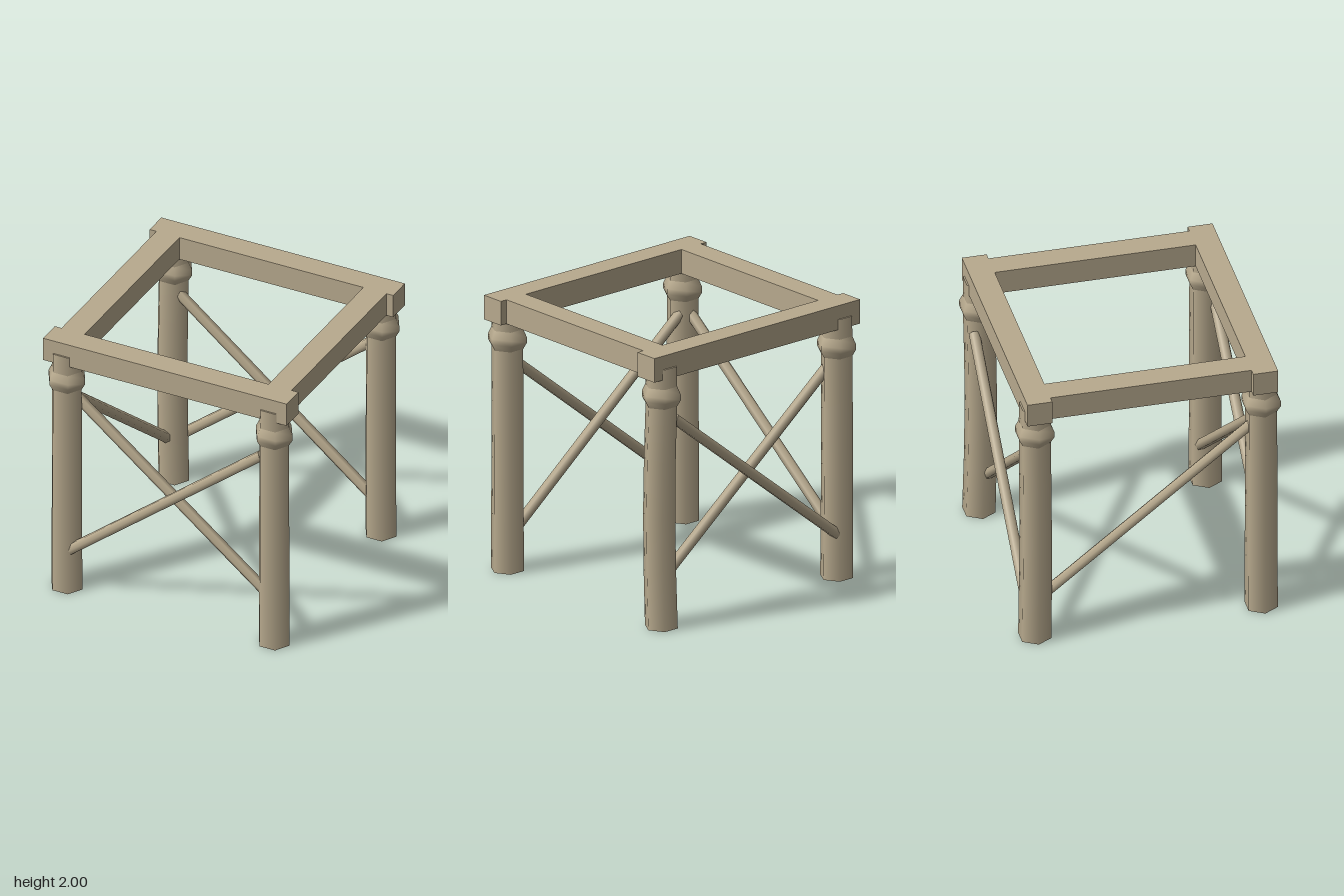
import * as THREE from 'three';

const wood = new THREE.MeshStandardMaterial({ color: 0xb8aa8e });
wood.name = 'weathered wood';

function add(parent, name, geometry, x = 0, y = 0, z = 0) {
  const mesh = new THREE.Mesh(geometry, wood);
  mesh.name = name;
  mesh.position.set(x, y, z);
  parent.add(mesh);
  return mesh;
}

// Six-sided shaft with corners on the x axis, bowed slightly at mid height
function shaftGeometry(bowX, bowZ) {
  const h = 1.63;
  const geo = new THREE.CylinderGeometry(0.114, 0.119, h, 6, 4);
  geo.rotateY(Math.PI / 6).translate(0, h / 2, 0);
  const p = geo.attributes.position;
  for (let i = 0; i < p.count; i++) {
    const bow = Math.sin((Math.PI * p.getY(i)) / h);
    p.setX(i, p.getX(i) + bowX * bow);
    p.setZ(i, p.getZ(i) + bowZ * bow);
  }
  return geo;
}

// Post: shaft, swollen collar and a neck let into the frame
function makePost(name, x, z, bowX, bowZ) {
  const post = new THREE.Group();
  post.name = name;
  post.position.set(x, 0, z);
  add(post, 'shaft', shaftGeometry(bowX, bowZ));
  const profile = [[0.113, 1.61], [0.141, 1.66], [0.141, 1.7], [0.115, 1.755]];
  const collar = new THREE.LatheGeometry(
    profile.map(([r, y]) => new THREE.Vector2(r, y)), 6, Math.PI / 2);
  add(post, 'collar', collar);
  const neck = new THREE.CylinderGeometry(0.112, 0.115, 0.16, 6).rotateY(Math.PI / 6);
  add(post, 'neck', neck, 0, 1.82, 0);
  return post;
}

// Round pole between two points
function addBrace(parent, name, from, to) {
  const a = new THREE.Vector3(...from), b = new THREE.Vector3(...to);
  const dir = b.clone().sub(a);
  const brace = add(parent, name, new THREE.CylinderGeometry(0.039, 0.039, dir.length(), 6));
  brace.position.copy(a).add(b).multiplyScalar(0.5);
  brace.quaternion.setFromUnitVectors(new THREE.Vector3(0, 1, 0), dir.normalize());
}

export function createModel() {
  const model = new THREE.Group();
  model.name = 'timberStand';

  // Top frame: long front and back beams, short side beams between them
  for (const s of [1, -1]) {
    add(model, s > 0 ? 'frontBeam' : 'backBeam',
      new THREE.BoxGeometry(1.88, 0.175, 0.176), 0, 1.9125, s * 0.798);
    add(model, s > 0 ? 'leftBeam' : 'rightBeam',
      new THREE.BoxGeometry(0.178, 0.175, 1.42), s * 0.799, 1.9125, 0);
  }

  // Four posts, each with its own slight bow
  model.add(
    makePost('frontLeftPost', 0.8, 0.8, 0, 0),
    makePost('frontRightPost', -0.8, 0.8, 0, 0),
    makePost('backLeftPost', 0.8, -0.8, 0.006, 0.016),
    makePost('backRightPost', -0.8, -0.8, -0.008, 0.004));

  // Crossed braces on front and back: one outer, one inner
  for (const s of [1, -1]) {
    const side = s > 0 ? 'front' : 'back';
    addBrace(model, side + 'OuterBrace', [-0.75, 0.335, s * 0.86], [0.73, 1.51, s * 0.85]);
    addBrace(model, side + 'InnerBrace', [-0.75, 1.525, s * 0.76], [0.75, 0.32, s * 0.75]);
  }

  // Single brace on the right side
  addBrace(model, 'sideBrace', [-0.81, 1.535, 0.76], [-0.81, 0.33, -0.75]);
  return model;
}
